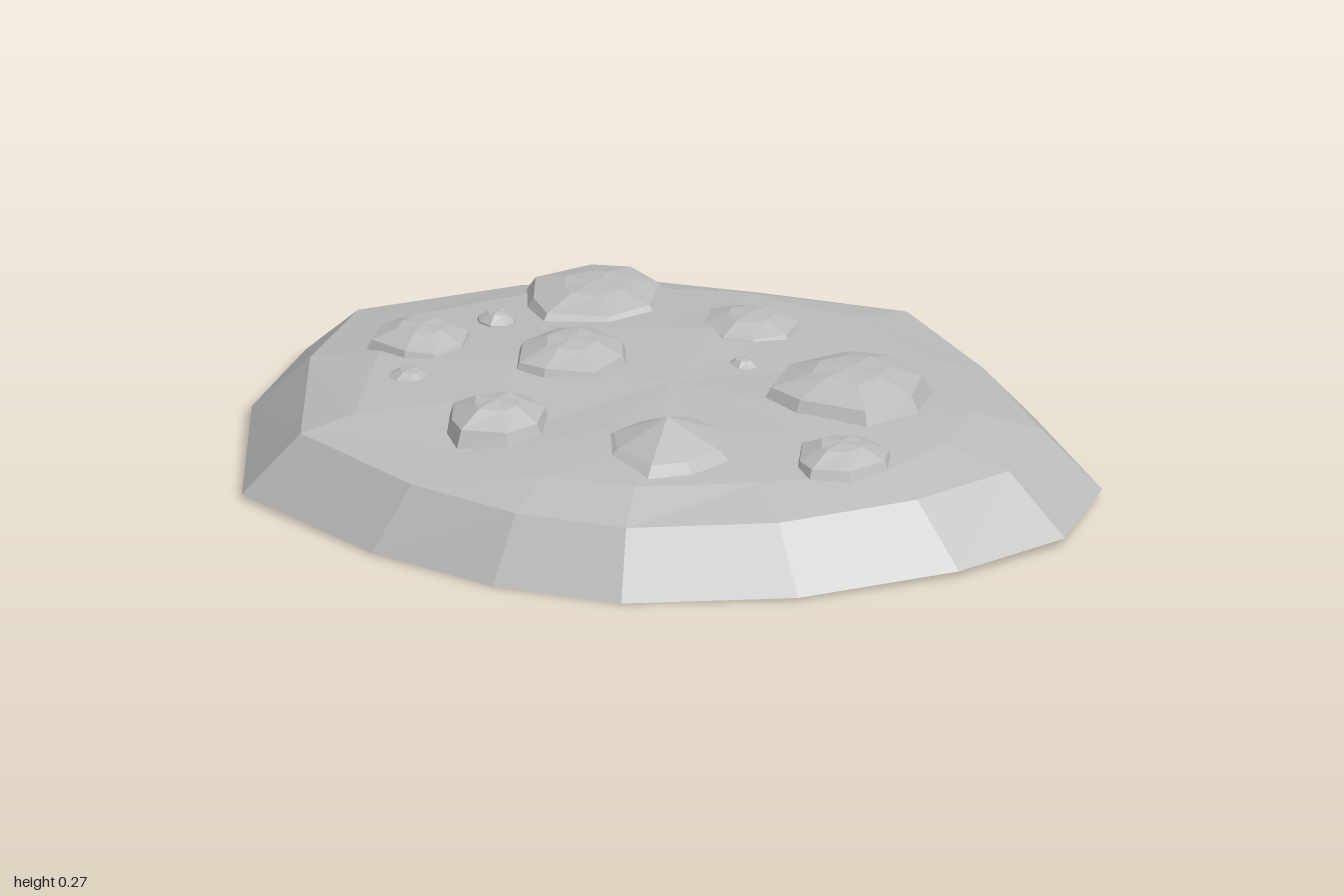
import * as THREE from 'three';

const stoneGrey = new THREE.MeshStandardMaterial({ color: 0xbcbcbc, flatShading: true, side: THREE.DoubleSide });
stoneGrey.name = 'stone grey';

// Skin a list of equally long rings of [x, y, z], bottom to top, closed by a tip point
function loft(name, rings, tip) {
  const n = rings[0].length, index = [];
  for (let r = 0; r < rings.length; r++) {
    for (let i = 0; i < n; i++) {
      const a = r * n + i, b = r * n + (i + 1) % n;
      if (r === rings.length - 1) index.push(a, rings.length * n, b);
      else index.push(a, a + n, b, b, a + n, b + n);
    }
  }
  const geometry = new THREE.BufferGeometry();
  geometry.setAttribute('position', new THREE.Float32BufferAttribute([...rings.flat(2), ...tip], 3));
  geometry.setIndex(index);
  const flat = geometry.toNonIndexed();
  flat.computeVertexNormals();
  const mesh = new THREE.Mesh(flat, stoneGrey);
  mesh.name = name;
  return mesh;
}

// Mound: foot outline [x, z], clockwise from the back seen from above
const foot = [
  [-0.33, -0.8], [0, -0.81], [0.41, -0.8], [0.72, -0.48], [1, -0.11], [1, 0.18], [0.82, 0.42], [0.51, 0.66],
  [0.13, 0.8], [-0.18, 0.79], [-0.5, 0.69], [-0.88, 0.46], [-1, -0.01], [-0.98, -0.37], [-0.62, -0.67],
];

function createMound() {
  const footHeight = (z) => 0.025 - 0.031 * Math.max(0, z);
  const inner = (s, y) => foot.map(([x, z], i) => {
    const k = s + 0.03 * Math.sin(i * 2.4);
    return [x * k, y + 0.006 * Math.sin(i * 1.7), z * k];
  });
  return loft('mound', [
    foot.map(([x, z]) => [x, footHeight(z), z]),
    foot.map(([x, z]) => [x * 0.86, 0.165 - 0.023 * Math.abs(z), z * 0.88]),
    inner(0.71, 0.19),
    inner(0.39, 0.209),
  ], [0, 0.212, 0]);
}

// Embedded stones: centre x, z, half width, half depth, top height, foot height, turn
const stones = {
  backLeftStone: [-0.32, -0.46, 0.17, 0.19, 0.237, 0.18, 0.3],
  backStone: [0.075, -0.39, 0.13, 0.125, 0.237, 0.18, 0.4],
  leftStone: [-0.62, -0.1, 0.13, 0.13, 0.24, 0.175, 0.2],
  middleStone: [-0.255, -0.075, 0.145, 0.16, 0.262, 0.185, 0.1],
  rightStone: [0.41, -0.07, 0.2, 0.2, 0.272, 0.19, 0.35],
  frontLeftStone: [-0.315, 0.32, 0.125, 0.145, 0.26, 0.175, 0.3],
  frontStone: [0.1, 0.34, 0.18, 0.21, 0.275, 0.175, 0.05],
  frontRightStone: [0.495, 0.275, 0.12, 0.13, 0.235, 0.165, 0.25],
  backLeftPebble: [-0.49, -0.265, 0.052, 0.055, 0.222, 0.175, 0.1],
  leftPebble: [-0.59, 0.1, 0.055, 0.055, 0.212, 0.175, 0.5],
  middlePebble: [0.13, -0.16, 0.045, 0.04, 0.223, 0.18, 0.2],
};

// Irregular eight-sided stone; the front one tapers to a peak, the others are domed
function createStone(name, [x, z, rx, rz, top, base, turn]) {
  const ring = (s, h) => Array.from({ length: 8 }, (_, i) => {
    const a = (i / 8) * Math.PI * 2 + turn + 0.12 * Math.sin(i * 2.1 + x * 9);
    const r = s * (1 + 0.06 * Math.sin(i * 2.7 + z * 8));
    return [x + rx * r * Math.cos(a), base + (top - base) * h * (1 - 0.06 * (i % 2)), z + rz * r * Math.sin(a)];
  });
  const rings = name === 'frontStone'
    ? [ring(1, 0), ring(0.7, 0.42)]
    : [ring(1, 0), ring(0.87, 0.6), ring(0.42, 0.96)];
  return loft(name, rings, [x, top, z]);
}

export function createModel() {
  const model = new THREE.Group();
  model.name = 'stonyMound';
  model.add(createMound());
  for (const [name, size] of Object.entries(stones)) model.add(createStone(name, size));
  return model;
}
